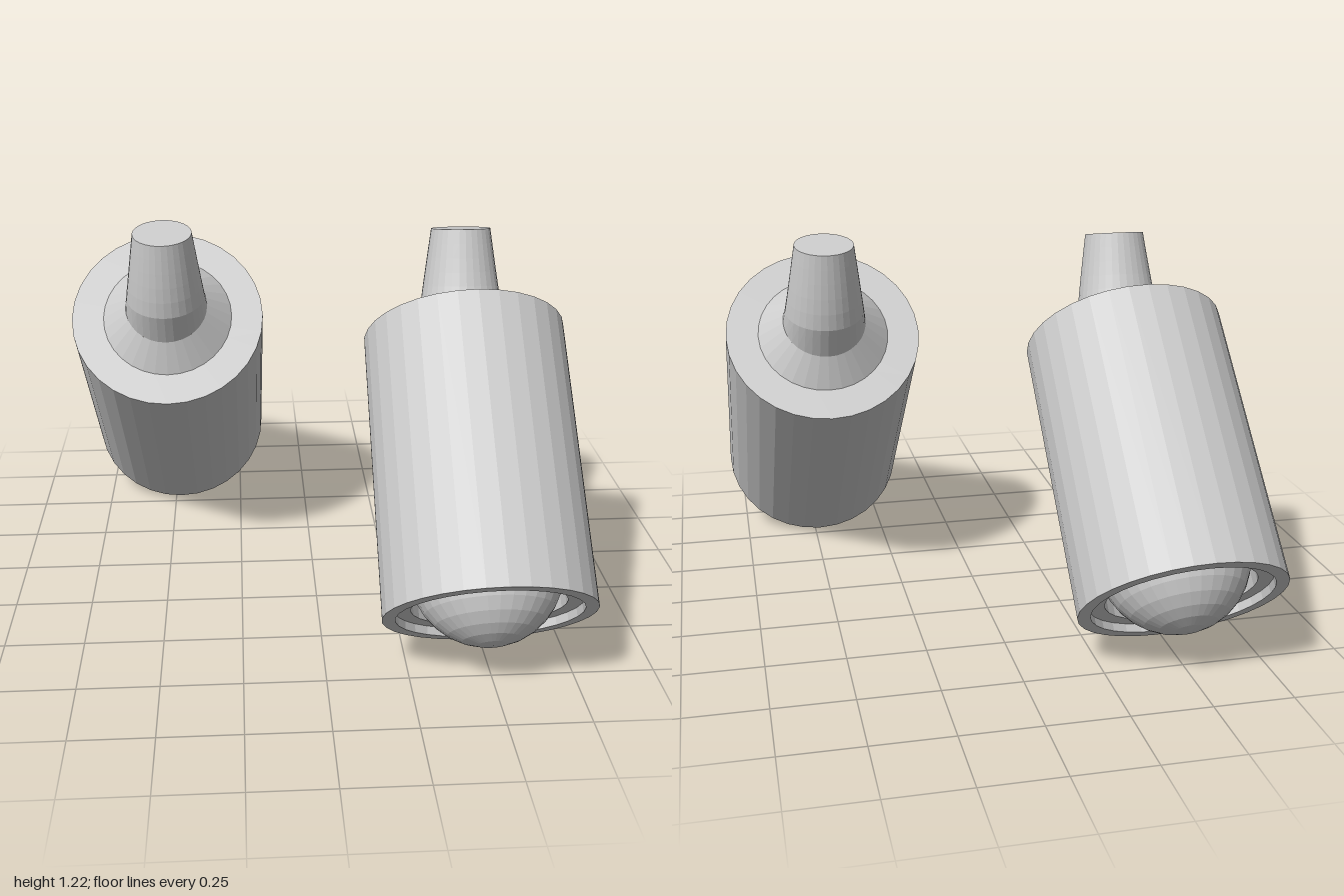
import * as THREE from 'three';

const SIDES = 32;
const material = new THREE.MeshStandardMaterial({ color: 0xcccccc, flatShading: true });

function addPart(parent, name, geometry) {
  const mesh = new THREE.Mesh(geometry, material);
  mesh.name = name;
  parent.add(mesh);
  return mesh;
}

// Tapered cylinder bent along a curve lying in the local yz plane
function bentNeck(curve, baseRadius, tipRadius) {
  const geometry = new THREE.CylinderGeometry(tipRadius, baseRadius, 1, SIDES, 6);
  const pos = geometry.attributes.position;
  for (let i = 0; i < pos.count; i++) {
    const t = THREE.MathUtils.clamp(pos.getY(i) + 0.5, 0, 1);
    const p = curve.getPointAt(t);
    const d = curve.getTangentAt(t);
    const z = pos.getZ(i);
    pos.setXYZ(i, pos.getX(i), p.y - z * d.z, p.z + z * d.y);
  }
  geometry.computeVertexNormals();
  return geometry;
}

// One spotlight: open end at the local origin, body running up +y
function createSpotlight(name) {
  const light = new THREE.Group();
  light.name = name;

  // Housing: bulb socket, stepped rim, outer wall, back face and cone collar
  const profile = [
    [0.232, 0.14], [0.232, 0.027], [0.28, 0.027], [0.28, 0], [0.32, 0],
    [0.32, 0.916], [0.215, 0.916], [0.135, 0.996],
  ].map(([r, y]) => new THREE.Vector2(r, y));
  addPart(light, 'housing', new THREE.LatheGeometry(profile, SIDES));

  // Bulb: half sphere bulging out of the socket
  const bulb = addPart(light, 'bulb',
    new THREE.SphereGeometry(0.232, SIDES, 8, 0, Math.PI * 2, Math.PI / 2, Math.PI / 2));
  bulb.position.y = 0.14;

  // Neck: curves from the collar to nearly upright
  const path = new THREE.QuadraticBezierCurve3(
    new THREE.Vector3(0, 0.996, 0),
    new THREE.Vector3(0, 1.031, 0),
    new THREE.Vector3(0, 1.236, 0.136));
  addPart(light, 'neck', bentNeck(path, 0.135, 0.095));

  light.rotation.x = -Math.PI / 4;
  light.position.set(0.48, 0.227, 0.774);
  return light;
}

export function createModel() {
  const model = new THREE.Group();
  model.name = 'spotlightPair';

  // Two spotlights, the second turned half a circle about the centre
  ['leftSpotlight', 'rightSpotlight'].forEach((name, i) => {
    const turn = new THREE.Group();
    turn.name = name + 'Mount';
    turn.rotation.y = i * Math.PI;
    turn.add(createSpotlight(name));
    model.add(turn);
  });
  return model;
}
